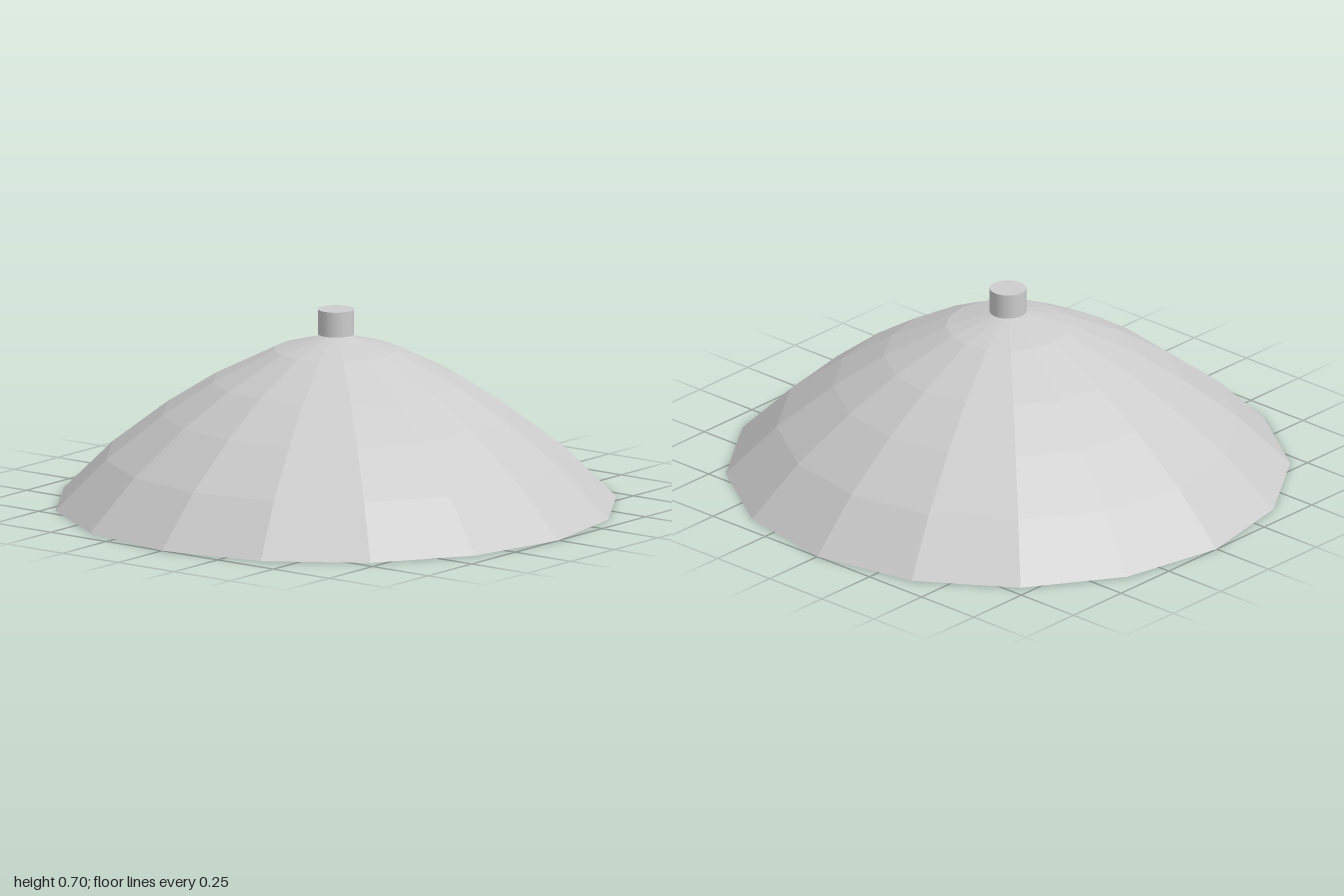
import * as THREE from 'three';

const SIDES = 16;

export function createModel() {
  const group = new THREE.Group();
  const lightGrey = new THREE.MeshStandardMaterial({ color: 0xcccccc, side: THREE.DoubleSide });
  lightGrey.name = 'lightGrey';

  const add = (name, geometry, y = 0) => {
    const mesh = new THREE.Mesh(geometry, lightGrey);
    mesh.name = name;
    mesh.position.y = y;
    group.add(mesh);
    return mesh;
  };

  // Faceted canopy: radius and height from rim to apex
  const profile = [[1, 0], [0.82, 0.18], [0.62, 0.335], [0.44, 0.45], [0.22, 0.56], [0, 0.62]]
    .map(([r, y]) => new THREE.Vector2(r, y));
  const canopy = new THREE.LatheGeometry(profile, SIDES).toNonIndexed();
  canopy.computeVertexNormals();
  add('canopy', canopy);

  // Cap on the apex and hub under the canopy
  add('topCap', new THREE.CylinderGeometry(0.065, 0.065, 0.09, 24), 0.66);
  add('hub', new THREE.CylinderGeometry(0.05, 0.05, 0.08, 24), 0.145);

  // Straight ribs from the hub to each corner of the rim
  const up = new THREE.Vector3(0, 1, 0);
  for (let i = 0; i < SIDES; i++) {
    const a = (i / SIDES) * Math.PI * 2;
    const at = (r, y) => new THREE.Vector3(r * Math.sin(a), y, r * Math.cos(a));
    const inner = at(0.03, 0.155), outer = at(0.975, 0.015);
    const span = outer.clone().sub(inner);
    const rib = add('rib' + (i + 1), new THREE.CylinderGeometry(0.01, 0.01, span.length(), 8));
    rib.position.copy(inner).add(outer).multiplyScalar(0.5);
    rib.quaternion.setFromUnitVectors(up, span.normalize());
  }

  return group;
}
